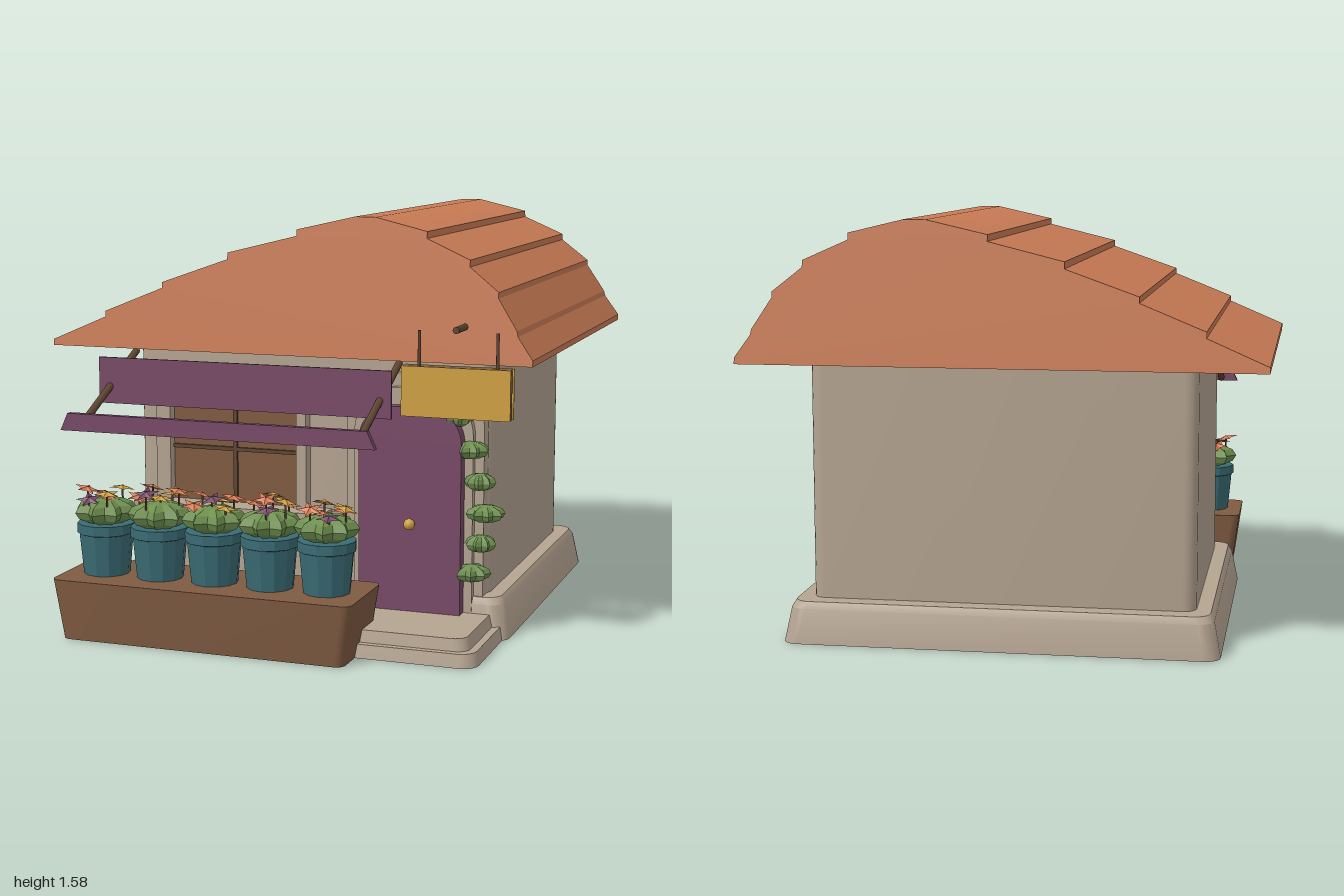
import * as THREE from 'three';
import { toCreasedNormals } from 'three/addons/utils/BufferGeometryUtils.js';

const mat = (name, color, side = THREE.FrontSide) => {
  const m = new THREE.MeshStandardMaterial({ color, side });
  m.name = name;
  return m;
};

export function createModel() {
  const root = new THREE.Group();
  root.name = 'flowerShop';
  const M = {
    roof: mat('terracotta', 0xc97b55, THREE.DoubleSide),
    stone: mat('stone', 0xb5a491),
    purple: mat('plum', 0x774a67, THREE.DoubleSide),
    teal: mat('teal', 0x3a6b74),
    green: mat('leafGreen', 0x6f9050),
    yellow: mat('gold', 0xcfa144, THREE.DoubleSide),
    brown: mat('wood', 0x7f5b41),
    dark: mat('darkWood', 0x5f4532),
    coral: mat('coral', 0xdd7f58, THREE.DoubleSide),
  };
  const add = (name, geo, m, x = 0, y = 0, z = 0, parent = root) => {
    const mesh = new THREE.Mesh(geo, m);
    mesh.name = name;
    mesh.position.set(x, y, z);
    parent.add(mesh);
    return mesh;
  };
  const flat = (g) => {
    const n = g.index ? g.toNonIndexed() : g;
    n.computeVertexNormals();
    return n;
  };
  // box from its limits
  const box = (name, m, x0, x1, y0, y1, z0, z1) =>
    add(name, new THREE.BoxGeometry(x1 - x0, y1 - y0, z1 - z0), m, (x0 + x1) / 2, (y0 + y1) / 2, (z0 + z1) / 2);
  // round bar between two points
  const bar = (name, a, b, r, m) => {
    const p = new THREE.Vector3(...a), q = new THREE.Vector3(...b);
    const d = q.clone().sub(p);
    const mesh = add(name, new THREE.CylinderGeometry(r, r, d.length(), 8), m);
    mesh.position.copy(p).add(q).multiplyScalar(0.5);
    mesh.quaternion.setFromUnitVectors(new THREE.Vector3(0, 1, 0), d.normalize());
    return mesh;
  };
  // stacked rounded rectangles; each level is [halfX, halfZ, y]
  const loft = (levels, r) => {
    const pos = [], idx = [], n = 24;
    for (const [hx, hz, y] of levels) {
      for (let c = 0; c < 4; c++) {
        for (let k = 0; k < 6; k++) {
          const a = (c + k / 5) * Math.PI / 2;
          const sx = c === 0 || c === 3 ? 1 : -1, sz = c < 2 ? 1 : -1;
          pos.push(sx * (hx - r) + r * Math.cos(a), y, sz * (hz - r) + r * Math.sin(a));
        }
      }
    }
    const last = (levels.length - 1) * n, bottom = levels.length * n;
    pos.push(0, levels[0][2], 0, 0, levels[levels.length - 1][2], 0);
    for (let j = 0; j < n; j++) {
      const k = (j + 1) % n;
      for (let i = 0; i < last; i += n) idx.push(i + j, i + n + j, i + k, i + k, i + n + j, i + n + k);
      idx.push(bottom, j, k, bottom + 1, last + k, last + j);
    }
    const g = new THREE.BufferGeometry();
    g.setAttribute('position', new THREE.Float32BufferAttribute(pos, 3));
    g.setIndex(idx);
    return toCreasedNormals(g, 0.45);
  };

  // walls, plinth, doorstep
  add('walls', loft([[0.72, 0.58, 0.1], [0.72, 0.58, 1.15]], 0.05), M.stone, 0.025, 0, -0.19);
  add('plinth', loft([[0.815, 0.675, 0], [0.79, 0.655, 0.13], [0.775, 0.64, 0.155]], 0.06), M.stone, 0.025, 0, -0.2);
  add('lowerStep', loft([[0.345, 0.27, 0], [0.335, 0.26, 0.05]], 0.06), M.stone, 0.475, 0, 0.58);
  add('upperStep', loft([[0.31, 0.235, 0.04], [0.295, 0.225, 0.095]], 0.05), M.stone, 0.475, 0, 0.58);

  // stepped roof shell, open below, with sloping gable ends
  const profile = [
    [-0.955, 1.06], [-0.955, 1.083], [-0.735, 1.178], [-0.735, 1.2], [-0.5, 1.295], [-0.5, 1.317],
    [-0.235, 1.41], [-0.235, 1.435], [0.04, 1.503], [0.04, 1.527], [0.265, 1.578], [0.345, 1.578],
    [0.545, 1.53], [0.545, 1.505], [0.71, 1.432], [0.71, 1.407], [0.82, 1.32], [0.82, 1.298],
    [0.893, 1.185], [0.897, 1.165], [0.955, 1.083], [0.955, 1.06],
  ];
  const frontZ = (y) => 0.61 - 0.115 * (y - 1.06);
  const backZ = (y) => -1 + 0.135 * (y - 1.06);
  const tiles = [];
  for (let i = 0; i + 1 < profile.length; i++) {
    const [ax, ay] = profile[i], [bx, by] = profile[i + 1];
    const a = [ax, ay, frontZ(ay)], b = [bx, by, frontZ(by)];
    const c = [bx, by, backZ(by)], d = [ax, ay, backZ(ay)];
    tiles.push(...a, ...b, ...c, ...a, ...c, ...d);
  }
  const tileGeo = new THREE.BufferGeometry();
  tileGeo.setAttribute('position', new THREE.Float32BufferAttribute(tiles, 3));
  add('roofTiles', toCreasedNormals(tileGeo, 0.35), M.roof);
  for (const [name, zAt] of [['frontGable', frontZ], ['backGable', backZ]]) {
    const g = new THREE.ShapeGeometry(new THREE.Shape(profile.map((p) => new THREE.Vector2(...p))));
    const p = g.attributes.position;
    for (let i = 0; i < p.count; i++) p.setZ(i, zAt(p.getY(i)));
    add(name, flat(g), M.roof);
  }

  // door with rounded top and stepped surround
  const arch = (name, x0, x1, y0, y1, r, z0, z1, m) => {
    const s = new THREE.Shape();
    s.moveTo(x0, y0);
    s.lineTo(x1, y0);
    s.lineTo(x1, y1 - r);
    s.absarc(x1 - r, y1 - r, r, 0, Math.PI / 2);
    s.lineTo(x0 + r, y1);
    s.absarc(x0 + r, y1 - r, r, Math.PI / 2, Math.PI);
    const g = new THREE.ExtrudeGeometry(s, { depth: z1 - z0, bevelEnabled: false, curveSegments: 8 });
    add(name, toCreasedNormals(g, 0.5), m, 0, 0, z0);
  };
  arch('outerDoorSurround', 0.195, 0.735, 0.05, 0.99, 0.2, 0.36, 0.43, M.stone);
  arch('innerDoorSurround', 0.235, 0.7, 0.05, 0.94, 0.17, 0.42, 0.46, M.stone);
  arch('door', 0.268, 0.668, 0.09, 0.875, 0.13, 0.45, 0.51, M.purple);
  add('doorKnob', new THREE.SphereGeometry(0.022, 12, 8), M.yellow, 0.475, 0.435, 0.53);

  // window
  box('windowPane', M.brown, -0.54, -0.01, 0.43, 0.95, 0.385, 0.4);
  box('windowMullion', M.dark, -0.284, -0.268, 0.43, 0.95, 0.4, 0.41);
  box('windowCrossbar', M.dark, -0.54, -0.01, 0.645, 0.66, 0.4, 0.41);
  box('windowLeftJamb', M.stone, -0.01, 0.03, 0.42, 0.99, 0.36, 0.44);
  box('windowRightJamb', M.stone, -0.6, -0.54, 0.42, 0.99, 0.36, 0.44);
  box('windowHead', M.stone, -0.6, 0.03, 0.95, 0.99, 0.36, 0.44);
  box('windowSill', M.stone, -0.67, 0.12, 0.38, 0.44, 0.36, 0.51);

  // awning boards and their arms
  box('awningBoard', M.purple, -0.725, 0.45, 0.855, 1.032, 0.668, 0.678);
  const valance = new THREE.BoxGeometry(1.17, 0.065, 0.025);
  const vp = valance.attributes.position;
  for (let i = 0; i < vp.count; i++) if (vp.getY(i) < 0) vp.setX(i, vp.getX(i) * 1.05);
  add('awningValance', flat(valance), M.purple, -0.137, 0.823, 0.937);
  for (const x of [-0.68, 0.405]) bar('awningArm', [x, 1.03, 0.44], [x, 0.8, 0.935], 0.014, M.dark);

  // hanging sign
  add('signBoard', loft([[0.2, 0.022, 0.876], [0.2, 0.022, 1.058]], 0.015), M.brown, 0.697, 0, 0.678);
  for (const z of [0.653, 0.703]) box('signFace', M.yellow, 0.495, 0.9, 0.875, 1.058, z - 0.003, z + 0.003);
  for (const x of [0.555, 0.845]) bar('signHanger', [x, 1.05, 0.678], [x, 1.185, 0.678], 0.006, M.dark);
  bar('signBracket', [0.7, 1.193, 0.5], [0.7, 1.193, 0.71], 0.013, M.dark);

  // leafy tufts: flattened spheres with pointed lobes
  const tuftGeo = new THREE.SphereGeometry(1, 16, 6);
  const tp = tuftGeo.attributes.position;
  for (let i = 0; i < tp.count; i++) {
    const k = (i % 17) % 2 ? 0.72 : 1;
    tp.setXYZ(i, tp.getX(i) * k, tp.getY(i), tp.getZ(i) * k);
  }
  const tuft = flat(tuftGeo);

  // climbing vine beside the door
  const vine = [[0.6, 0.95], [0.64, 0.838], [0.69, 0.72], [0.73, 0.602], [0.752, 0.484], [0.735, 0.368], [0.7, 0.253]];
  vine.forEach(([x, y], i) => {
    const w = i % 2 ? 0.06 : 0.075;
    const leaf = add('vineLeaves', tuft, M.green, x, y, 0.465);
    leaf.scale.set(w, 0.033, w);
    leaf.rotation.y = i * 0.3;
  });

  // planter box
  add('planterBox', loft([[0.56, 0.165, 0], [0.592, 0.183, 0.23]], 0.035), M.brown, -0.19, 0, 0.817);

  // potted flowers
  const potGeo = flat(new THREE.LatheGeometry([
    [0, 0.2], [0.085, 0.2], [0.102, 0.385], [0.11, 0.388], [0.11, 0.425], [0.095, 0.425], [0, 0.42],
  ].map((p) => new THREE.Vector2(...p)), 12));
  const star = new THREE.CircleGeometry(0.052, 10);
  const sp = star.attributes.position;
  for (let i = 1; i < sp.count; i++) {
    const k = i % 2 ? 1 : 0.45;
    sp.setXYZ(i, sp.getX(i) * k, sp.getY(i) * k, -0.012);
  }
  star.rotateX(-Math.PI / 2);
  const flower = flat(star);
  const petals = [M.coral, M.yellow, M.purple, M.coral, M.coral, M.yellow];
  for (let i = 0; i < 5; i++) {
    const pot = new THREE.Group();
    pot.name = 'flowerPot';
    pot.position.set(-0.635 + i * 0.222, 0, 0.82);
    root.add(pot);
    add('pot', potGeo, M.teal, 0, 0, 0, pot);
    const leaves = add('potLeaves', tuft, M.green, 0, 0.468, 0, pot);
    leaves.scale.set(0.122, 0.052, 0.122);
    leaves.rotation.y = i * 0.25;
    for (let k = 0; k < 6; k++) {
      const a = k * 1.05 + i * 0.8, r = k === 0 ? 0.015 : 0.075;
      const x = r * Math.cos(a), z = r * Math.sin(a), y = 0.53 + 0.013 * ((k * 2 + i) % 4);
      add('flowerStem', new THREE.CylinderGeometry(0.004, 0.004, y - 0.46, 5), M.dark, x, (y + 0.46) / 2, z, pot);
      const f = add('flower', flower, petals[(k + i) % 6], x, y, z, pot);
      f.rotation.set(0.3 * Math.sin(a), a, -0.3 * Math.cos(a));
    }
  }
  return root;
}
